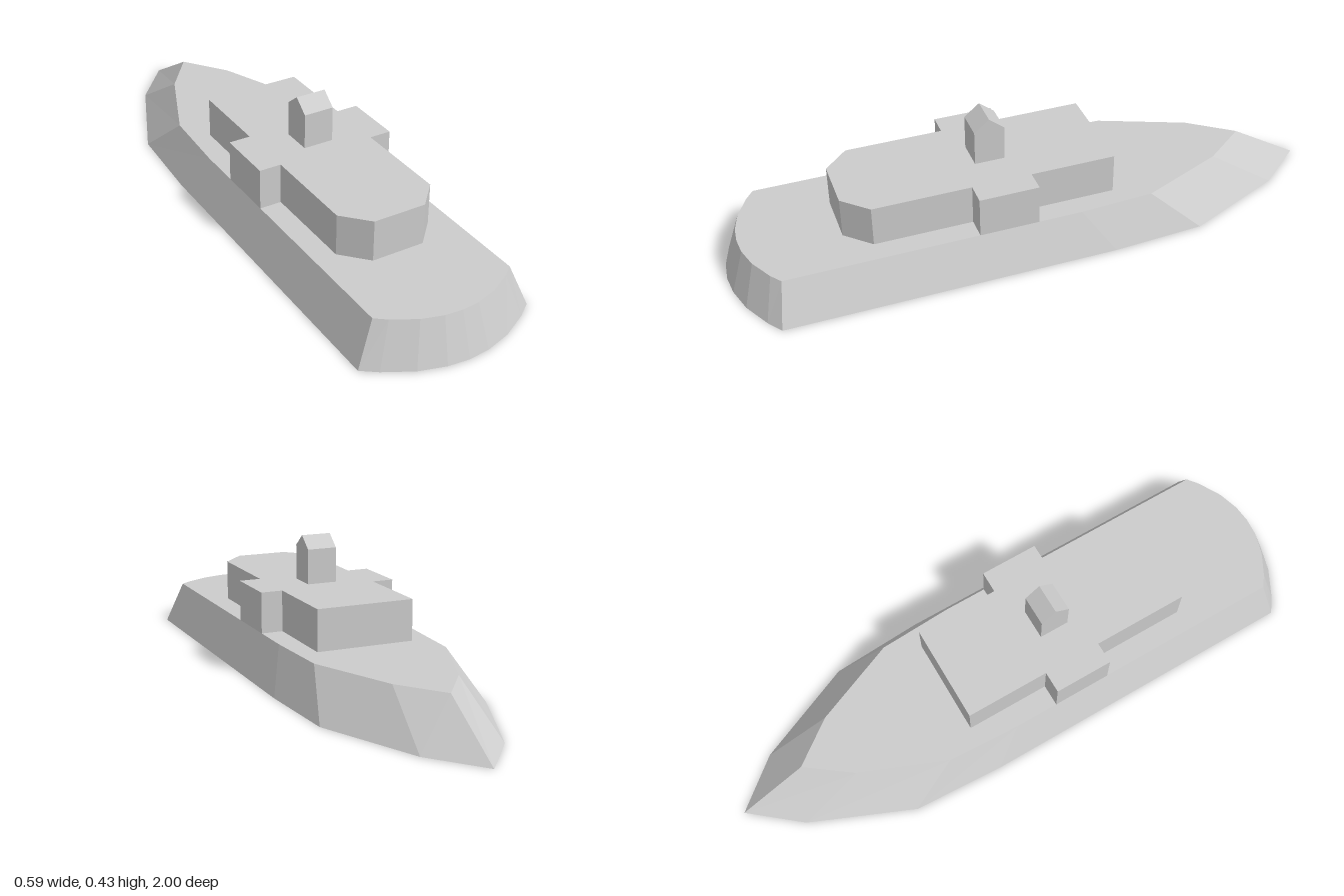
import * as THREE from 'three';

const DECK = 0.14, ROOF = 0.275;
const material = new THREE.MeshStandardMaterial({ color: 0xcccccc, flatShading: true });

// Half outlines [x, z] from bow to stern; first and last points lie on the centre line
const keel = [[0, -1], [0.132, -0.84], [0.276, -0.505], [0.293, -0.2], [0.293, 0.885],
  [0.245, 0.92], [0.155, 0.968], [0.07, 0.993], [0, 1]];
const deck = [[0, -0.768], [0.107, -0.625], [0.223, -0.345], [0.235, -0.1], [0.235, 0.86],
  [0.2, 0.887], [0.125, 0.928], [0.057, 0.948], [0, 0.953]];
const cabin = [[0, -0.235], [0.163, -0.235], [0.163, 0.045], [0.235, 0.045], [0.235, 0.24],
  [0.163, 0.24], [0.163, 0.56], [0.087, 0.64], [0, 0.64]];

// Closes a half outline by mirroring it across x = 0
function mirrored(half) {
  return [...half, ...half.slice(1, -1).reverse().map(([x, z]) => [-x, z])];
}

// Walls between a lower and an upper outline, with both ends capped
function loft(lowHalf, highHalf, y0, y1) {
  const low = mirrored(lowHalf).map(([x, z]) => [x, y0, z]);
  const high = mirrored(highHalf).map(([x, z]) => [x, y1, z]);
  const n = low.length, positions = [];
  const tri = (a, b, c) => positions.push(...a, ...b, ...c);
  for (let i = 0; i < n; i++) {
    const j = (i + 1) % n;
    tri(low[j], low[i], high[i]);
    tri(low[j], high[i], high[j]);
    tri([0, y1, 0.14], high[j], high[i]);
    tri([0, y0, 0.14], low[i], low[j]);
  }
  const geometry = new THREE.BufferGeometry();
  geometry.setAttribute('position', new THREE.Float32BufferAttribute(positions, 3));
  geometry.computeVertexNormals();
  return geometry;
}

// Straight extrusion of an outline
function extrude(points, depth) {
  const shape = new THREE.Shape(points.map(([a, b]) => new THREE.Vector2(a, b)));
  return new THREE.ExtrudeGeometry(shape, { depth, bevelEnabled: false });
}

export function createModel() {
  const group = new THREE.Group();
  const add = (name, geometry) => {
    const mesh = new THREE.Mesh(geometry, material);
    mesh.name = name;
    group.add(mesh);
  };

  // Hull with sloping sides, pointed bow and rounded stern
  add('hull', loft(keel, deck, 0, DECK));

  // Deckhouse with side wings and chamfered corners
  add('deckhouse', extrude(mirrored(cabin), ROOF - DECK).rotateX(Math.PI / 2).translate(0, ROOF, 0));

  // Funnel with a small gabled top, its ridge running across the ship
  const gable = [[0.094, ROOF], [0.193, ROOF], [0.193, 0.391], [0.1435, 0.431], [0.094, 0.391]];
  add('funnel', extrude(gable, 0.1).rotateY(-Math.PI / 2).translate(0.05, 0, 0));

  return group;
}
